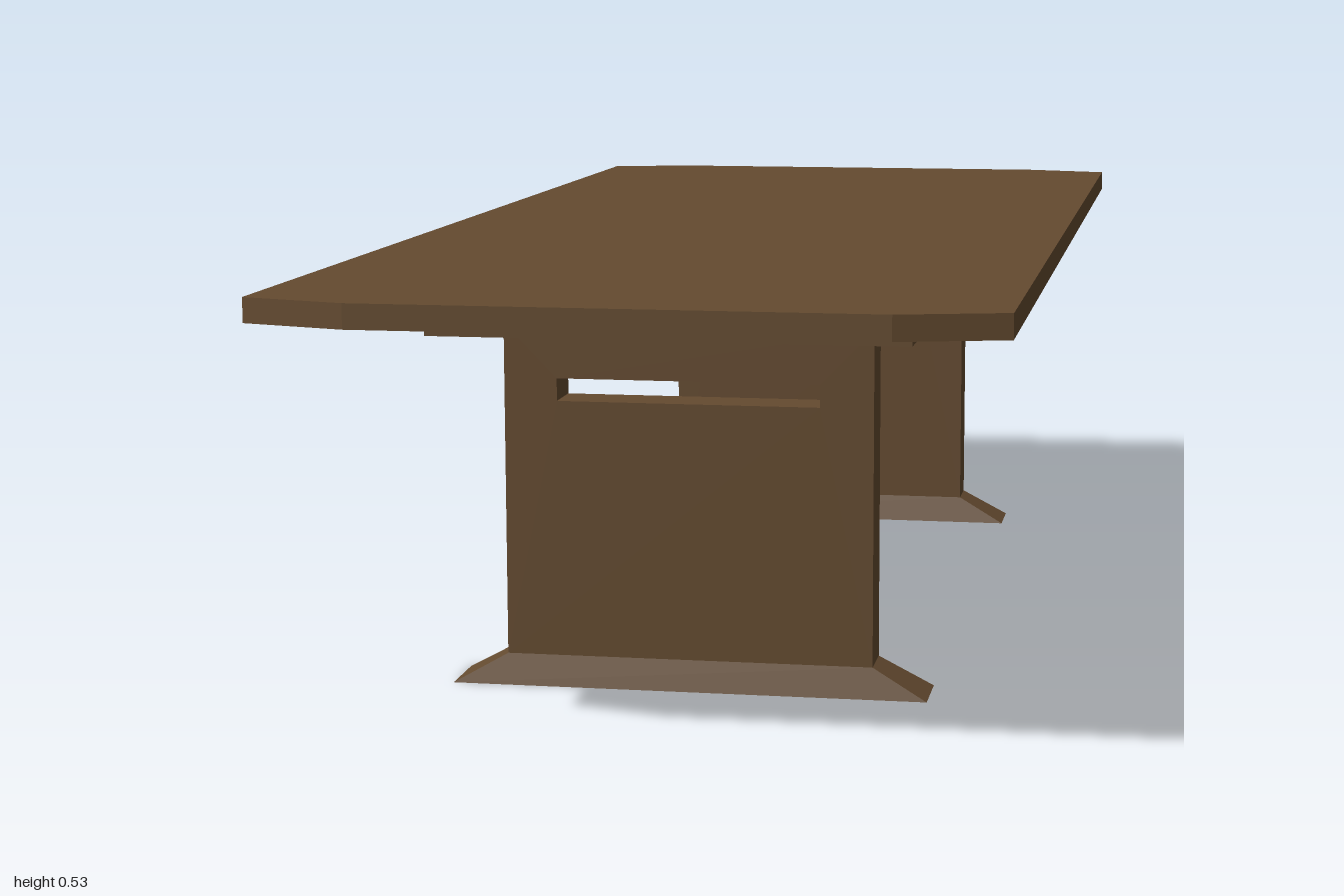
import * as THREE from 'three';

const wood = new THREE.MeshStandardMaterial({ color: 0x654b30, flatShading: true });

function part(name, geometry, parent) {
  const mesh = new THREE.Mesh(geometry, wood);
  mesh.name = name;
  parent.add(mesh);
  return mesh;
}

const outline = (points) => points.map(([x, y]) => new THREE.Vector2(x, y));
const rect = (w, y0, y1) => outline([[-w, y0], [w, y0], [w, y1], [-w, y1]]);

// Upright panel with a long slot, centred on z = 0
function panelGeometry(depth) {
  const shape = new THREE.Shape(rect(0.229, 0.038, 0.454));
  shape.holes.push(new THREE.Path(rect(0.163, 0.358, 0.386)));
  return new THREE.ExtrudeGeometry(shape, { depth, bevelEnabled: false })
    .translate(0, 0, -depth / 2);
}

// Flared foot: a box whose top narrows to the panel
function footGeometry(depth) {
  const geo = new THREE.BoxGeometry(0.594, 0.038, 0.083).translate(0, 0.019, 0);
  const pos = geo.attributes.position;
  for (let i = 0; i < pos.count; i++) {
    if (pos.getY(i) > 0.02) {
      pos.setX(i, Math.sign(pos.getX(i)) * 0.229);
      pos.setZ(i, Math.sign(pos.getZ(i)) * depth / 2);
    }
  }
  geo.computeVertexNormals();
  return geo;
}

export function createModel() {
  const table = new THREE.Group();
  table.name = 'table';

  // Table top with tapered ends
  const top = new THREE.Shape(outline([
    [-0.425, -0.965], [-0.3, -1], [0.3, -1], [0.425, -0.965],
    [0.425, 0.965], [0.3, 1], [-0.3, 1], [-0.425, 0.965],
  ]));
  const topGeo = new THREE.ExtrudeGeometry(top, { depth: 0.029, bevelEnabled: false })
    .rotateX(-Math.PI / 2);
  part('tableTop', topGeo, table).position.y = 0.498;

  // Two matching pedestals
  const depth = 0.061;
  for (const [name, side] of [['frontPedestal', 1], ['backPedestal', -1]]) {
    const pedestal = new THREE.Group();
    pedestal.name = name;
    pedestal.position.z = side * 0.553;
    part('supportBlock', new THREE.BoxGeometry(0.58, 0.044, 0.336), pedestal).position.y = 0.476;
    part('panel', panelGeometry(depth), pedestal);
    part('foot', footGeometry(depth), pedestal);
    table.add(pedestal);
  }
  return table;
}
